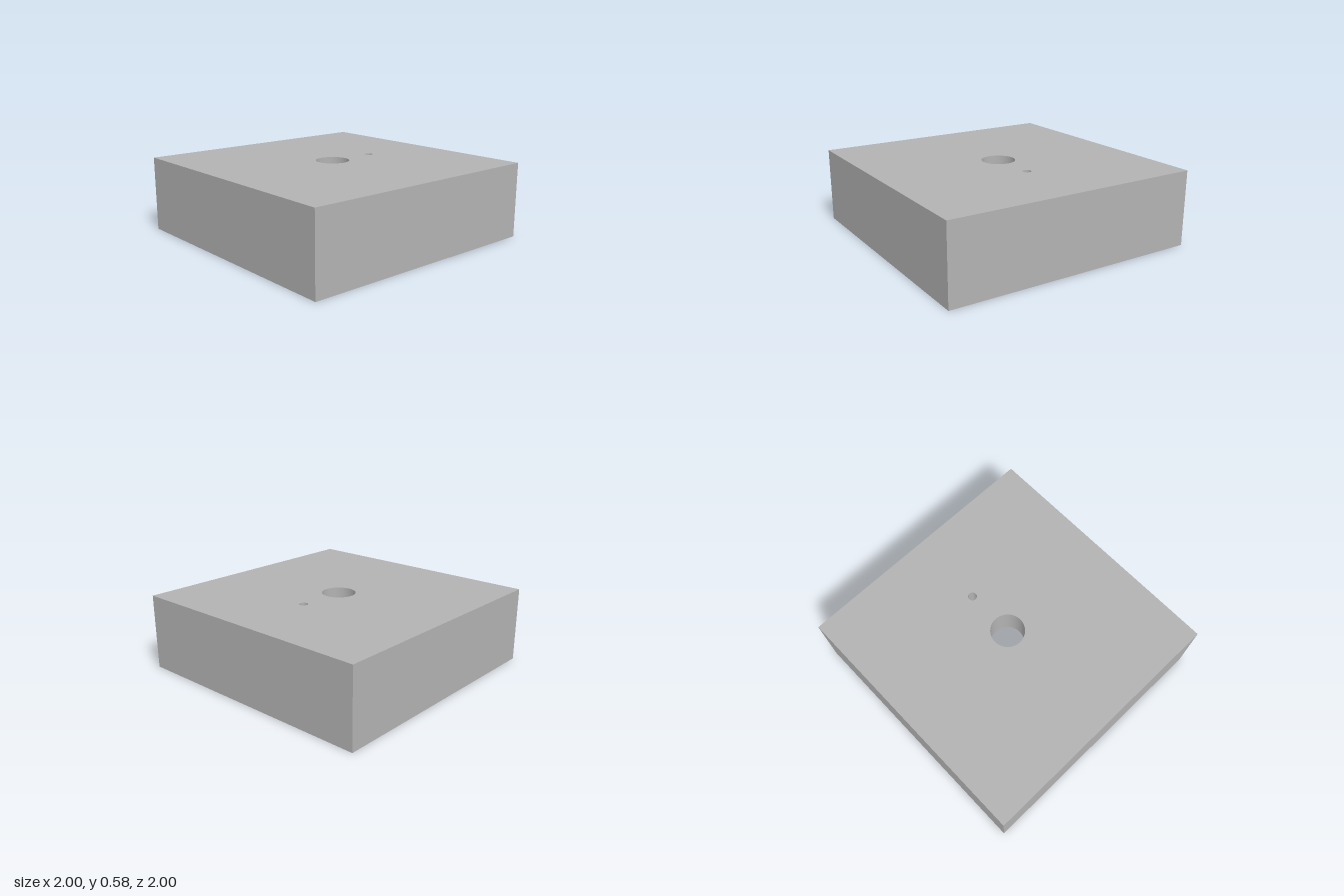
import * as THREE from 'three';
import { toCreasedNormals } from 'three/addons/utils/BufferGeometryUtils.js';

const H = 0.585;                       // block height
const STEP = 0.03;                     // depth of the recess around the cavity
const RECESS = [0.72, 0.36];           // half width, corner radius
const CAVITY = [0.625, 0.265];
const SPRUE = 0.13;
const VENT = { x: 0.385, z: 0, r: 0.033 };
const DOWEL = { r: 0.08, depth: 0.2, at: [[0.8, -0.8], [-0.8, 0.8]] };
const N = 192;

// lobes scooped into the cavity ceiling: x, z, radius
const LOBES = [
  [-0.32, 0.02, 0.21], [-0.25, 0.18, 0.16], [-0.04, 0.29, 0.13], [0.11, 0.27, 0.075],
  [0.36, 0.03, 0.2], [0.13, -0.21, 0.15], [-0.06, -0.28, 0.11], [-0.17, -0.24, 0.08],
];

// distance from the centre to a rounded square at a given angle
function reach(angle, [half, radius]) {
  const c = Math.abs(Math.cos(angle)), s = Math.abs(Math.sin(angle));
  const k = half - radius, d = half / Math.max(c, s);
  if (d * Math.min(c, s) <= k) return d;
  const b = k * (c + s);
  return b + Math.sqrt(b * b - 2 * k * k + radius * radius);
}

function domeHeight(x, z) {
  const t = Math.min(1, Math.hypot(x, z) / reach(Math.atan2(z, x), CAVITY));
  return STEP + 0.3 * (1 - t ** 2.8);
}

const lobes = LOBES.map(([x, z, r]) => ({ x, z, r, y: domeHeight(x, z) - 0.25 * r }));

function ceiling(x, z) {
  let y = domeHeight(x, z);
  for (const l of lobes) {
    const q = l.r ** 2 - (x - l.x) ** 2 - (z - l.z) ** 2;
    if (q > 0) y = Math.max(y, l.y + Math.sqrt(q));
  }
  return y;
}

// closed rings joined into a skin; point(ring, angle) gives [x, y, z]
function loft(rings, sides, point, skip = () => false) {
  const pos = [], index = [];
  for (let i = 0; i < rings; i++)
    for (let j = 0; j < sides; j++) pos.push(...point(i, (j / sides) * Math.PI * 2));
  for (let i = 0; i < rings - 1; i++)
    for (let j = 0; j < sides; j++) {
      const k = (j + 1) % sides;
      const a = i * sides + j, b = i * sides + k, c = a + sides, d = b + sides;
      if ([a, b, c, d].some((v) => skip(pos[v * 3], pos[v * 3 + 2]))) continue;
      index.push(a, c, b, b, c, d);
    }
  const g = new THREE.BufferGeometry();
  g.setAttribute('position', new THREE.Float32BufferAttribute(pos, 3));
  g.setIndex(index);
  g.computeVertexNormals();
  return toCreasedNormals(g, 0.5);
}

function squareShape() {
  return new THREE.Shape([[-1, -1], [1, -1], [1, 1], [-1, 1]].map((p) => new THREE.Vector2(...p)));
}

function circleHole(x, z, r) {
  return new THREE.Path().absarc(x, z, r, 0, Math.PI * 2, true);
}

export function createModel() {
  const group = new THREE.Group();
  const grey = new THREE.MeshStandardMaterial({ color: 0xb2b2b2, side: THREE.DoubleSide });
  grey.name = 'mould grey';
  const add = (name, geometry) => {
    const mesh = new THREE.Mesh(geometry, grey);
    mesh.name = name;
    group.add(mesh);
    return mesh;
  };

  // outer walls
  const walls = new THREE.CylinderGeometry(Math.SQRT2, Math.SQRT2, H, 4, 1, true)
    .rotateY(Math.PI / 4).translate(0, H / 2, 0).toNonIndexed();
  walls.computeVertexNormals();
  add('outerWalls', walls);

  // top face with sprue and vent openings
  const top = squareShape();
  top.holes.push(circleHole(0, 0, SPRUE), circleHole(VENT.x, VENT.z, VENT.r));
  add('topFace', new THREE.ShapeGeometry(top, 32).rotateX(-Math.PI / 2).translate(0, H, 0));

  // underside with recess and dowel openings
  const under = squareShape();
  const outline = [];
  for (let j = 0; j < N; j++) {
    const a = (j / N) * Math.PI * 2, d = reach(a, RECESS);
    outline.push(new THREE.Vector2(d * Math.cos(a), d * Math.sin(a)));
  }
  under.holes.push(new THREE.Path(outline));
  for (const [x, z] of DOWEL.at) under.holes.push(circleHole(x, z, DOWEL.r));
  add('underside', new THREE.ShapeGeometry(under, 24).rotateX(Math.PI / 2));

  // recessed rim around the cavity: floor, then wall
  add('recessedRim', loft(3, N, (i, a) => {
    const d = reach(a, i === 0 ? CAVITY : RECESS);
    return [d * Math.cos(a), i === 2 ? 0 : STEP, d * Math.sin(a)];
  }));

  // domed cavity with lobes, opened at the vent
  const R = 72;
  add('cavity', loft(R + 1, N, (i, a) => {
    const d = SPRUE + (reach(a, CAVITY) - SPRUE) * (i / R);
    let x = d * Math.cos(a), z = d * Math.sin(a);
    const dx = x - VENT.x, dz = z - VENT.z, gap = Math.hypot(dx, dz);
    if (gap > VENT.r * 0.7 && gap < VENT.r * 1.2) {
      x = VENT.x + (dx / gap) * VENT.r;
      z = VENT.z + (dz / gap) * VENT.r;
    }
    return [x, ceiling(x, z), z];
  }, (x, z) => Math.hypot(x - VENT.x, z - VENT.z) < VENT.r * 0.98));

  // through holes running from the top face to the cavity
  const throughHole = (name, cx, cz, r, sides) => add(name, loft(2, sides, (i, a) => {
    const x = cx + r * Math.cos(a), z = cz + r * Math.sin(a);
    return [x, i === 0 ? H : ceiling(x, z), z];
  }));
  throughHole('sprueHole', 0, 0, SPRUE, N);
  throughHole('ventHole', VENT.x, VENT.z, VENT.r, 32);

  // blind dowel holes in two opposite corners
  for (const [x, z] of DOWEL.at)
    add('dowelHole', loft(3, 48, (i, a) => {
      const r = i === 0 ? 0 : DOWEL.r;
      return [x + r * Math.cos(a), i === 2 ? 0 : DOWEL.depth, z + r * Math.sin(a)];
    }));

  return group;
}
